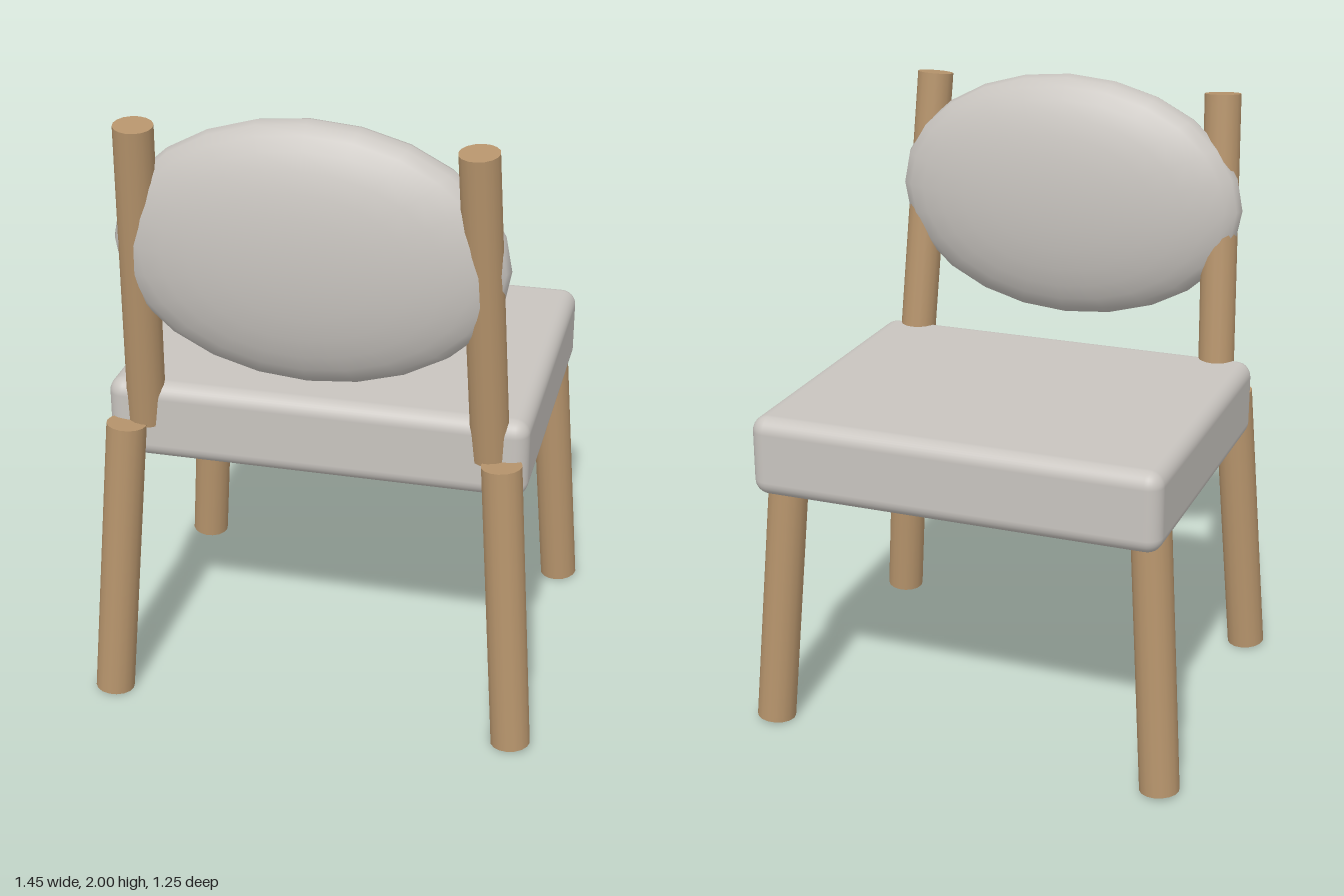
import * as THREE from 'three';
import { RoundedBoxGeometry } from 'three/addons/geometries/RoundedBoxGeometry.js';

// Round rod running between two points
function rod(name, from, to, radius, material) {
  const a = new THREE.Vector3(...from);
  const b = new THREE.Vector3(...to);
  const dir = b.clone().sub(a);
  const mesh = new THREE.Mesh(new THREE.CylinderGeometry(radius, radius, dir.length(), 16), material);
  mesh.position.copy(a).add(b).multiplyScalar(0.5);
  mesh.quaternion.setFromUnitVectors(new THREE.Vector3(0, 1, 0), dir.normalize());
  mesh.name = name;
  return mesh;
}

export function createModel() {
  const group = new THREE.Group();
  group.name = 'chair';
  const wood = new THREE.MeshStandardMaterial({ color: 0xb6946c });
  wood.name = 'wood';
  const fabric = new THREE.MeshStandardMaterial({ color: 0xc8c4bf });
  fabric.name = 'light grey fabric';

  // Padded seat
  const seat = new THREE.Mesh(new RoundedBoxGeometry(1.33, 0.26, 1.08, 4, 0.05), fabric);
  seat.position.set(0, 0.96, -0.085);
  seat.name = 'seat';
  group.add(seat);

  // Oval back cushion, with its poles facing front and back
  const geometry = new THREE.SphereGeometry(1, 24, 16);
  geometry.rotateX(Math.PI / 2);
  geometry.scale(0.6, 0.41, 0.15);
  const cushion = new THREE.Mesh(geometry, fabric);
  cushion.position.set(0, 1.59, 0.47);
  cushion.name = 'backCushion';
  group.add(cushion);

  for (const s of [1, -1]) {
    const side = s > 0 ? 'left' : 'right';
    // Splayed legs
    for (const t of [1, -1]) {
      const end = t > 0 ? 'Backrest' : 'Open';
      group.add(rod(`${side}${end}Leg`, [s * 0.661, 0.006, t * 0.531], [s * 0.592, 0.963, t * 0.479], 0.063, wood));
    }
    // Leaning back posts
    group.add(rod(`${side}BackPost`, [s * 0.547, 0.955, 0.412], [s * 0.505, 1.96, 0.529], 0.06, wood));
  }
  return group;
}
